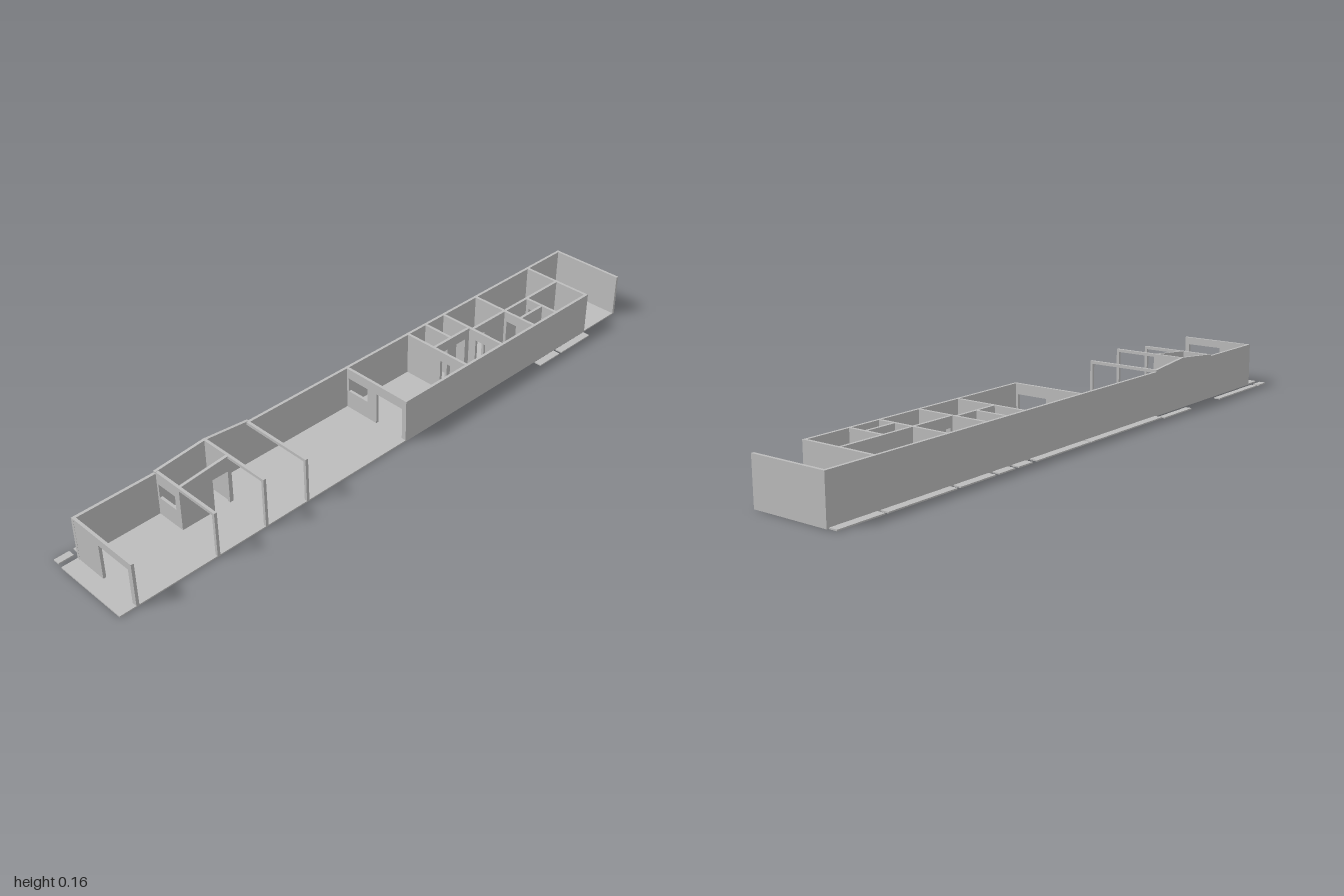
import * as THREE from 'three';

const T = 0.009;          // wall thickness
const H = 0.139;          // wall height
const DOOR = 0.107;       // door head height
const FLOOR = 0.004;
const XL = -0.121, XR = 0.128;

export function createModel() {
  const model = new THREE.Group();
  const grey = new THREE.MeshStandardMaterial({ color: 0xbcbcbc });
  grey.name = 'plainGrey';

  const add = (name, geometry) => {
    const mesh = new THREE.Mesh(geometry, grey);
    mesh.name = name;
    model.add(mesh);
    return mesh;
  };

  // Flat slab lying on the ground
  const slab = (name, x0, x1, z0, z1) => {
    const m = add(name, new THREE.BoxGeometry(x1 - x0, FLOOR, z1 - z0));
    m.position.set((x0 + x1) / 2, FLOOR / 2, (z0 + z1) / 2);
  };

  // Upright panel from an outline, with rectangular openings [u0, u1, v0, v1]
  const panel = (outline, openings) => {
    const shape = new THREE.Shape(outline.map(([u, v]) => new THREE.Vector2(u, v)));
    for (const [u0, u1, v0, v1] of openings) {
      shape.holes.push(new THREE.Path([[u0, v0], [u0, v1], [u1, v1], [u1, v0]]
        .map(([u, v]) => new THREE.Vector2(u, v))));
    }
    return new THREE.ExtrudeGeometry(shape, { depth: T, bevelEnabled: false });
  };

  // Wall running across the building, centred on z
  const crossWall = (name, z, x0, x1, h, openings = []) => {
    const outline = [[x0, 0.001], [x1, 0.001], [x1, h], [x0, h]];
    add(name, panel(outline, openings)).position.z = z - T / 2;
  };

  // Wall running along the building from x; top is a list of [z, y], front to back
  const longWall = (name, x, top, openings = []) => {
    const outline = [[-top[0][0], 0.001], [-top[top.length - 1][0], 0.001],
      ...[...top].reverse().map(([z, y]) => [-z, y])];
    const holes = openings.map(([z0, z1, y0, y1]) => [-z1, -z0, y0, y1]);
    const m = add(name, panel(outline, holes));
    m.rotation.y = Math.PI / 2;
    m.position.x = x;
  };
  const level = (z0, z1) => [[z1, H], [z0, H]];
  const door = (a, b, h = DOOR) => [a, b, 0.003, h];

  // Floor and the strips beside it
  slab('floor', XL, XR, -1, 1);
  [[-0.995, -0.84], [-0.83, -0.583], [-0.57, -0.432], [-0.417, -0.353],
    [-0.337, -0.278], [-0.258, -0.013], [-0.007, 0.36]]
    .forEach(([a, b]) => slab('innerSideStrip', -0.15, -0.124, a, b));
  [[0.364, 0.518], [0.692, 0.937], [0.95, 0.997]]
    .forEach(([a, b]) => slab('outerSideStrip', -0.159, -0.138, a, b));
  [[-0.83, -0.687], [-0.677, -0.584]]
    .forEach(([a, b]) => slab('oppositeSideStrip', 0.132, 0.156, a, b));

  // Outer walls
  longWall('longSideWall', XL, [[0.95, H], [0.692, H], [0.692, 0.1446], [0.523, 0.16],
    [0.371, 0.1446], [0.371, H], [-1, H]]);
  longWall('shortSideWall', XR - T, level(-0.839, -0.006));
  crossWall('backWall', -1 + T / 2, XL, XR, H);
  crossWall('frontWall', 0.945, XL, XR, H, [door(-0.01, 0.1125, 0.115)]);

  // Open frames and the small room under the raised roof line
  const postX = XR - T;
  crossWall('windowFrameWall', 0.687, XL, XR, 0.1446,
    [[-0.105, -0.035, 0.062, 0.107], door(-0.015, postX, 0.1355)]);
  crossWall('ridgeFrame', 0.522, XL, XR, 0.16, [door(-0.015, postX, 0.151)]);
  crossWall('openFrame', 0.375, XL, XR, 0.1446, [door(XL + T, postX, 0.1355)]);
  longWall('smallRoomWall', -0.024, [[0.687, 0.1446], [0.522, 0.16]],
    [door(0.53, 0.582, 0.11)]);

  // Cross partitions
  crossWall('hallWall', -0.01, XL, XR, H, [[-0.105, -0.028, 0.062, 0.107], door(0.009, 0.1125)]);
  crossWall('corridorWall', -0.268, XL, XR, H, [door(0.022, 0.061)]);
  crossWall('bedroomWall', -0.427, XL, XR, H, [door(0.022, 0.061)]);
  crossWall('middleWall', -0.578, XL, XR, H, [door(0.018, 0.056)]);
  crossWall('porchWall', -0.835, XL, XR, H);
  crossWall('closetBackWall', -0.685, 0, XR, H, [door(0.018, 0.056)]);
  crossWall('washroomDivider', -0.345, XL, -0.008, H);

  // Lengthwise partitions
  longWall('bedroomDivider', -0.001, level(-0.835, -0.427), [door(-0.48, -0.44)]);
  longWall('washroomWall', -0.014, level(-0.427, -0.268),
    [door(-0.405, -0.365), door(-0.325, -0.285)]);
  longWall('closetDivider', 0.062, level(-0.685, -0.578));

  return model;
}
